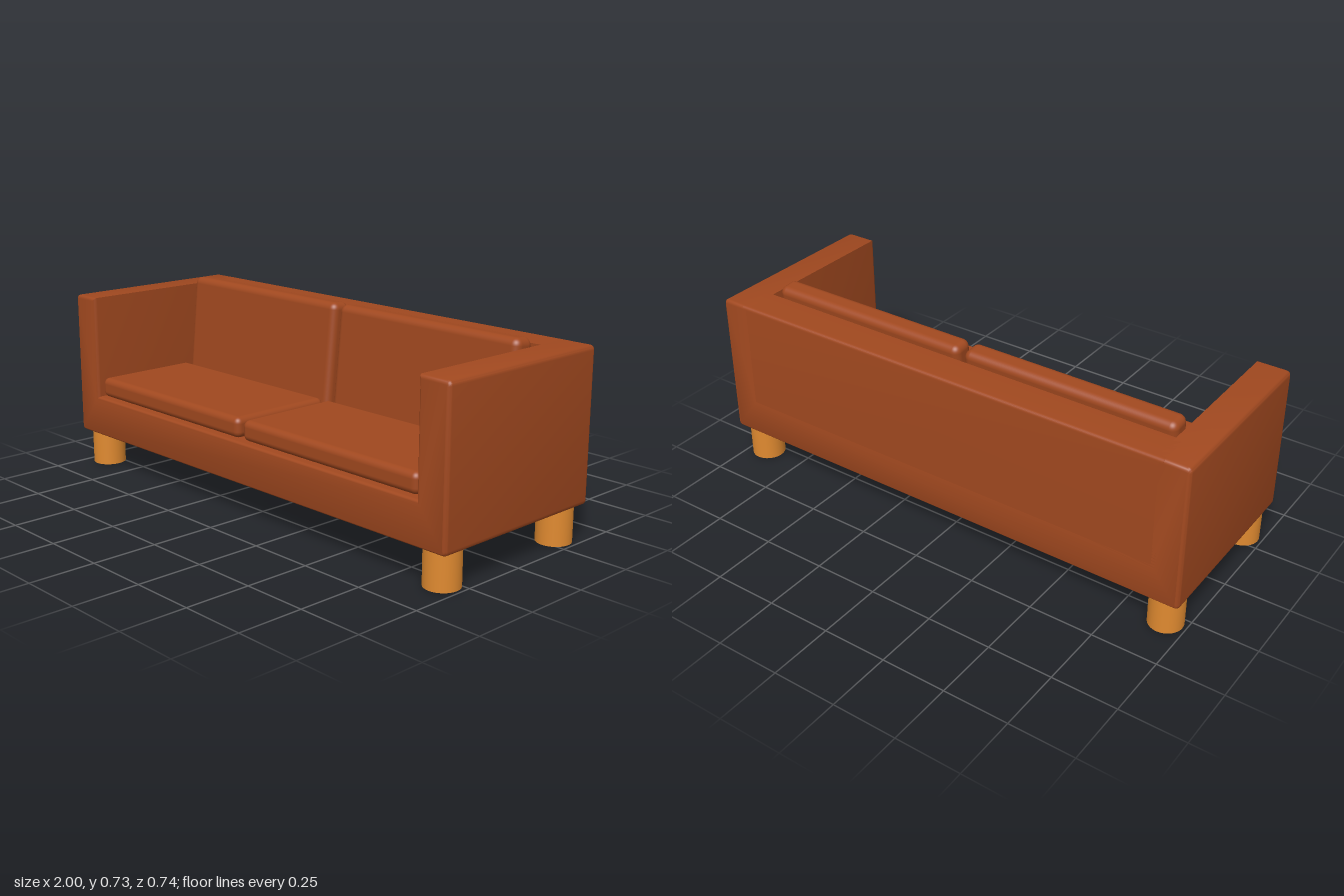
import * as THREE from 'three';
import { toCreasedNormals } from 'three/addons/utils/BufferGeometryUtils.js';
import { RoundedBoxGeometry } from 'three/addons/geometries/RoundedBoxGeometry.js';

const leather = new THREE.MeshStandardMaterial({ color: 0xa0481f });
const wood = new THREE.MeshStandardMaterial({ color: 0xe08a30 });

const HALF_W = 1, HALF_D = 0.372, BOTTOM = 0.135, TOP = 0.702;
const ARM = 0.127, DECK = 0.295, BACK = 0.137, R = 0.018;

function part(name, geometry, material, x = 0, y = 0, z = 0) {
  const mesh = new THREE.Mesh(geometry, material);
  mesh.name = name;
  mesh.position.set(x, y, z);
  return mesh;
}

// Base and both arms: a U-shaped front profile extruded from back to front
function baseAndArms() {
  const w = HALF_W, inner = HALF_W - ARM;
  const s = new THREE.Shape();
  s.moveTo(-w + R, BOTTOM);
  s.lineTo(w - R, BOTTOM);
  s.quadraticCurveTo(w, BOTTOM, w, BOTTOM + R);
  s.lineTo(w, TOP - R);
  s.quadraticCurveTo(w, TOP, w - R, TOP);
  s.lineTo(inner, TOP);
  s.lineTo(inner, DECK);
  s.lineTo(-inner, DECK);
  s.lineTo(-inner, TOP);
  s.lineTo(-w + R, TOP);
  s.quadraticCurveTo(-w, TOP, -w, TOP - R);
  s.lineTo(-w, BOTTOM + R);
  s.quadraticCurveTo(-w, BOTTOM, -w + R, BOTTOM);
  const bevel = 0.014;
  const g = new THREE.ExtrudeGeometry(s, {
    depth: 2 * (HALF_D - bevel), curveSegments: 4, bevelThickness: bevel,
    bevelSize: bevel, bevelOffset: -bevel, bevelSegments: 4,
  });
  g.translate(0, 0, -HALF_D + bevel);
  return toCreasedNormals(g, 0.6);
}

// Back panel: a side profile with a rounded top rear edge, run between the arms
function backPanel() {
  const r = 0.014, zBack = -HALF_D, zFront = -HALF_D + BACK;
  const bottom = DECK - 0.03, length = 2 * (HALF_W - ARM + 0.03);
  const s = new THREE.Shape(); // drawn in (-z, y), then turned to run along x
  s.moveTo(-zFront, bottom);
  s.lineTo(-zBack, bottom);
  s.lineTo(-zBack, TOP - r);
  s.quadraticCurveTo(-zBack, TOP, -zBack - r, TOP);
  s.lineTo(-zFront, TOP);
  const g = new THREE.ExtrudeGeometry(s, { depth: length, bevelEnabled: false, curveSegments: 5 });
  g.rotateY(Math.PI / 2);
  g.translate(-length / 2, 0, 0);
  return toCreasedNormals(g, 0.6);
}

export function createModel() {
  const sofa = new THREE.Group();
  sofa.name = 'sofa';

  const frame = new THREE.Group();
  frame.name = 'frame';
  frame.add(part('baseAndArms', baseAndArms(), leather), part('backPanel', backPanel(), leather));
  sofa.add(frame);

  const seat = new RoundedBoxGeometry(0.85, 0.078, 0.433, 5, 0.024);
  const back = new RoundedBoxGeometry(0.85, 0.436, 0.088, 5, 0.028);
  const leg = new THREE.CylinderGeometry(0.065, 0.065, BOTTOM + 0.005, 32);

  for (const [side, sx] of [['left', 1], ['right', -1]]) {
    // Cushions, the back one leaning against the panel
    sofa.add(part(side + 'SeatCushion', seat, leather, sx * 0.436, 0.337, 0.141));
    const backCushion = part(side + 'BackCushion', back, leather, sx * 0.436, 0.515, -0.151);
    backCushion.rotation.x = -0.1;
    sofa.add(backCushion);

    // Legs
    for (const [end, sz] of [['Front', 1], ['Back', -1]]) {
      sofa.add(part(side + end + 'Leg', leg, wood, sx * 0.922, (BOTTOM + 0.005) / 2, sz * 0.294));
    }
  }
  return sofa;
}
